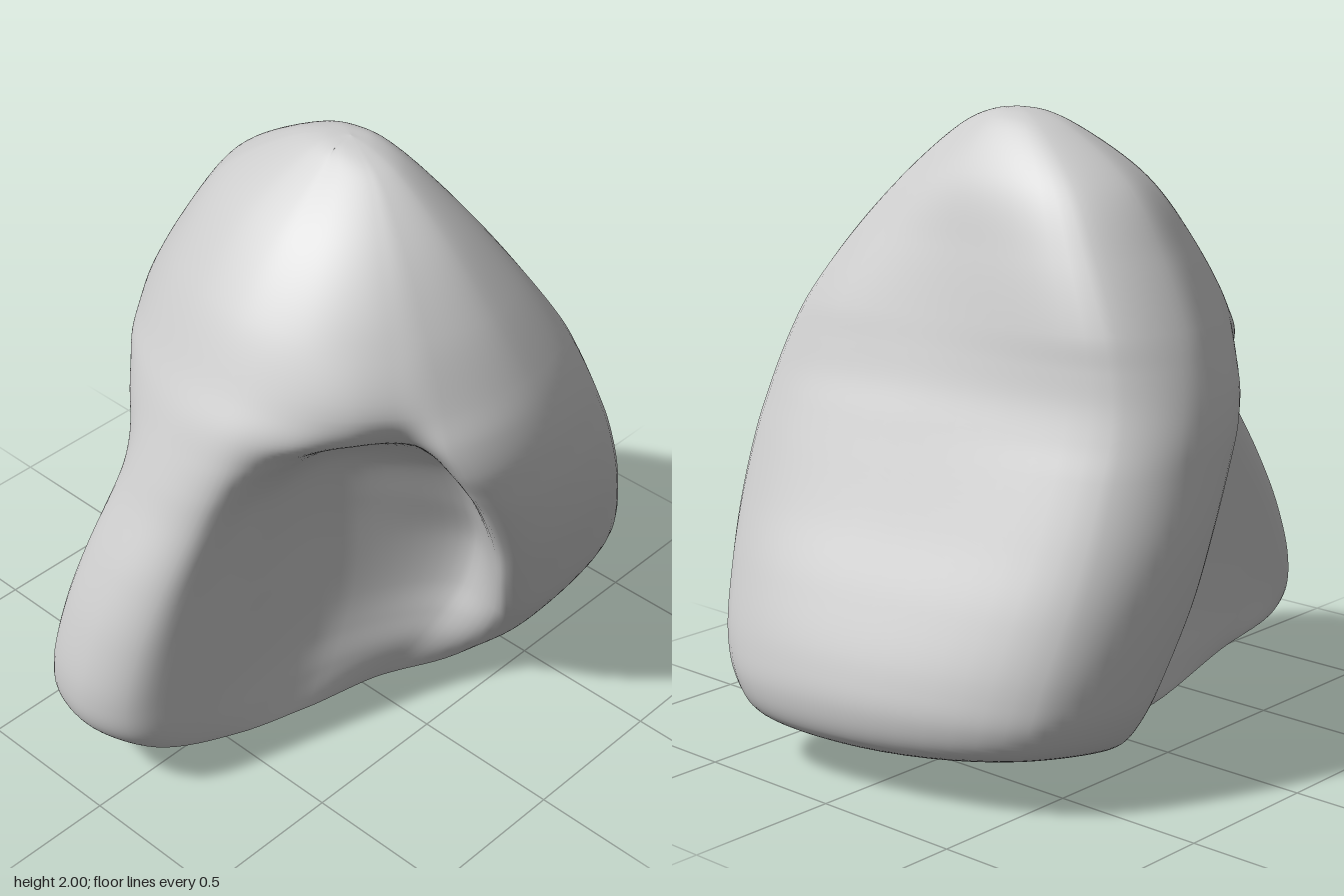
import * as THREE from 'three';

const COLS = 128, ROWS = 128, CAP = 10;
const lerp = THREE.MathUtils.lerp, smooth = THREE.MathUtils.smoothstep;

// y, right x, left x, front z, back z, z of widest point, hollow on +x, hollow on -x
const SECTIONS = [
  [1.992, 0.12, -0.07, -0.045, -0.18, -0.11, 0, 0],
  [1.95, 0.23, -0.19, 0.025, -0.235, -0.11, 0, 0],
  [1.8, 0.42, -0.42, 0.21, -0.345, -0.12, 0, 0],
  [1.6, 0.58, -0.56, 0.38, -0.435, -0.15, 0, 0],
  [1.4, 0.69, -0.67, 0.5, -0.52, -0.2, 0.04, 0],
  [1.3, 0.73, -0.71, 0.56, -0.56, -0.24, 0.3, 0.08],
  [1.2, 0.755, -0.74, 0.61, -0.6, -0.28, 0.64, 0.32],
  [1.1, 0.765, -0.76, 0.66, -0.645, -0.32, 0.84, 0.6],
  [1.0, 0.77, -0.77, 0.71, -0.69, -0.35, 0.94, 0.82],
  [0.8, 0.755, -0.78, 0.82, -0.775, -0.4, 0.99, 0.97],
  [0.6, 0.71, -0.765, 0.91, -0.86, -0.45, 1, 1],
  [0.4, 0.65, -0.73, 0.965, -0.93, -0.5, 1, 1],
  [0.28, 0.59, -0.7, 0.96, -0.95, -0.5, 0.98, 0.98],
  [0.17, 0.52, -0.64, 0.89, -0.925, -0.5, 0.92, 0.92],
  [0.05, 0.42, -0.52, 0.79, -0.82, -0.48, 0.8, 0.8],
  [-0.1, 0.34, -0.42, 0.7, -0.7, -0.45, 0.7, 0.7],
];

// One side of a section, from the front ridge to the back corner
function sidePoints(y, X, zf, zb, zs, hollow, cx, s) {
  const neck = s > 0 ? 0.14 : -0.27;
  const low = 1 - smooth(y, 0.05, 0.6);
  const rimZ = -0.25 + 0.24 * y * y - 0.1 * low;
  const pocket = [
    [cx + (s > 0 ? 0.165 : -0.2), zf - 0.07],
    [neck, zf - 0.3],
    [neck + s * 0.03, (s > 0 ? 0.06 : -0.02) + 0.08 * low],
    [X * 0.6, rimZ + lerp(s > 0 ? -0.1 : -0.07, 0.18, low)],
    [X * 0.94, rimZ],
  ];
  // The ridge flares into the arch, so its points hollow out later than the pocket
  const fade = [2.2, 2, 1.6, 0.9, 0.8];
  const pts = [14, 28, 40, 52, 64].map((deg, i) => {
    const a = THREE.MathUtils.degToRad(deg), h = Math.pow(hollow, fade[i]);
    const x = X * Math.sin(a), z = zs + (zf - zs) * Math.cos(a);
    return new THREE.Vector3(lerp(x, pocket[i][0], h), y, lerp(z, pocket[i][1], h));
  });
  // Flat back: square corners, set further forward on the -x side
  const square = smooth(2 - y, 0, 0.6);
  const yaw = s < 0 ? 0.19 * smooth(1.95 - y, 0, 0.9) : 0;
  pts.push(new THREE.Vector3(X, y, zs + yaw * 0.4));
  pts.push(new THREE.Vector3(X * lerp(0.72, s > 0 ? 0.81 : 0.82, square), y,
    lerp(zs, zb, lerp(0.7, 0.95, square)) + yaw));
  return pts;
}

// Closed horizontal outline, sampled evenly per control point
function outline([y, xr, xl, zf, zb, zs, hr, hl]) {
  const cx = lerp(0.03, -0.1, smooth(1.9 - y, 0, 1.6));
  const right = sidePoints(y, xr, zf, zb, zs, hr, cx, 1);
  const left = sidePoints(y, xl, zf, zb, zs, hl, cx, -1).reverse();
  const dish = 0.055 * smooth(1.95 - y, 0, 0.8) * smooth(y, 0.2, 1);
  const loop = [new THREE.Vector3(cx, y, zf), ...right,
    new THREE.Vector3(0.05, y, zb + dish), ...left];
  const curve = new THREE.CatmullRomCurve3(loop, true);
  return Array.from({ length: COLS }, (_, i) => curve.getPoint(i / COLS));
}

// Rounded keel-like underside: lowest near the middle, rising outward
function liftToUnderside(p) {
  const floor = 0.18 * Math.pow(Math.abs(p.z + 0.1), 1.3) + 0.2 * (p.x - 0.1) ** 2;
  const d = p.y - floor;
  p.y = 0.5 * (p.y + floor + Math.sqrt(d * d + 0.003)) - 0.007;
  return p;
}

function bodyGeometry() {
  const rings = SECTIONS.map(outline);
  const top = new THREE.Vector3(0.03, 2.005, -0.11);
  const grid = Array.from({ length: ROWS + CAP + 1 }, () => []);
  for (let c = 0; c < COLS; c++) {
    const column = new THREE.CatmullRomCurve3([top, ...rings.map((r) => r[c])]);
    for (let r = 0; r <= ROWS; r++) grid[r].push(column.getPoint(r / ROWS));
    // Close the underside with shrinking rings
    const edge = grid[ROWS][c];
    const centre = new THREE.Vector3(-0.03, edge.y, -0.3);
    for (let k = 1; k <= CAP; k++) grid[ROWS + k].push(edge.clone().lerp(centre, k / CAP));
  }
  const positions = [], index = [];
  grid.flat().forEach((p) => positions.push(...liftToUnderside(p.clone()).toArray()));
  for (let r = 0; r < ROWS + CAP; r++) {
    for (let c = 0; c < COLS; c++) {
      const n = (c + 1) % COLS;
      const a = r * COLS + c, b = a + COLS, a1 = r * COLS + n, b1 = a1 + COLS;
      index.push(a, b, b1);
      if (r > 0) index.push(a, b1, a1);
    }
  }
  const g = new THREE.BufferGeometry();
  g.setAttribute('position', new THREE.Float32BufferAttribute(positions, 3));
  g.setIndex(index);
  g.computeVertexNormals();
  return g;
}

export function createModel() {
  const group = new THREE.Group();
  const material = new THREE.MeshStandardMaterial({ color: 0xcccccc, side: THREE.DoubleSide });
  const body = new THREE.Mesh(bodyGeometry(), material);
  body.name = 'hollowedBody';
  group.add(body);
  return group;
}
